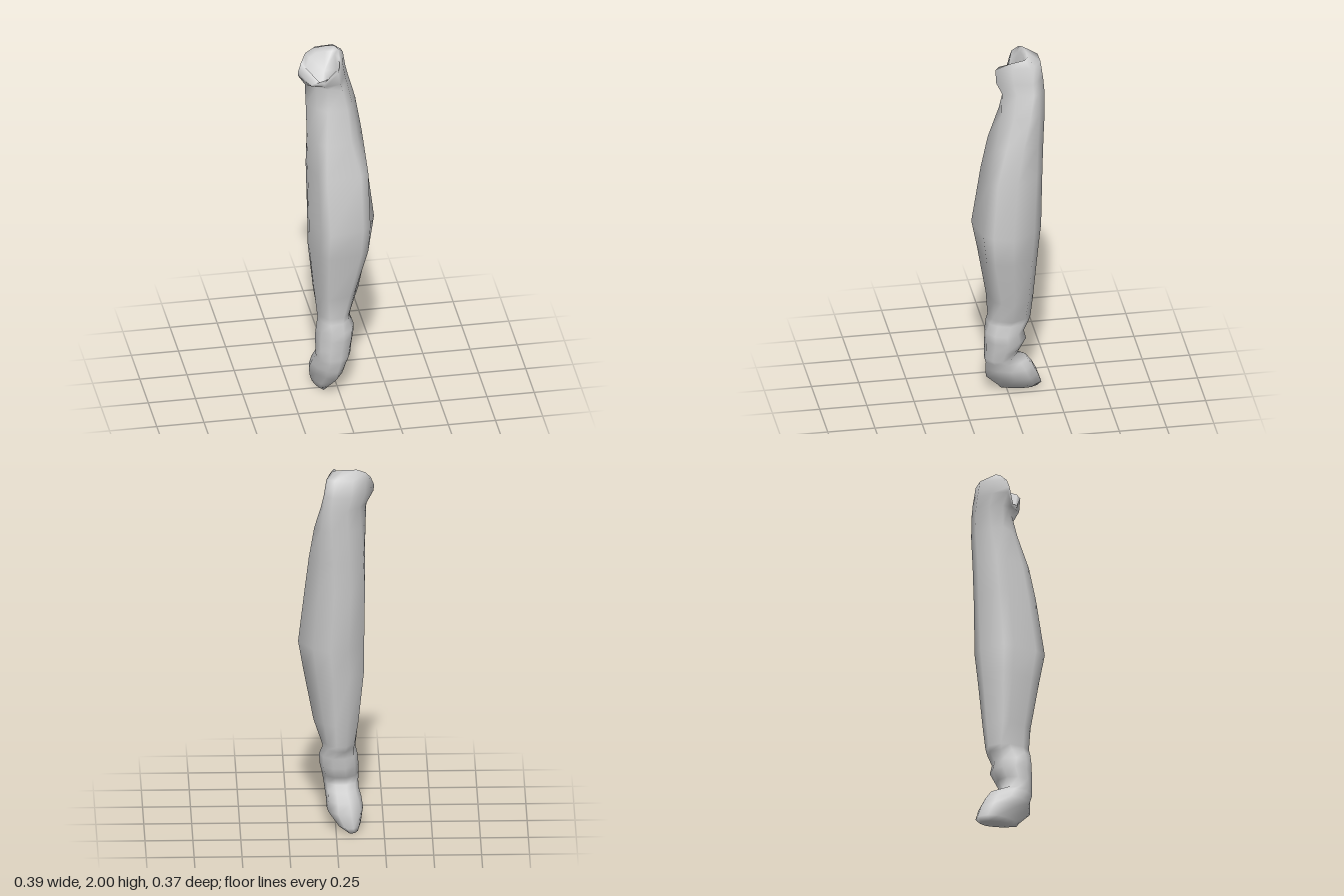
import * as THREE from 'three';

// Unit cross-sections [x, z], ten corners each, running from +x towards +z
const SHAFT = [[1, -.03], [.74, .5], [.48, .78], [-.5, 1], [-.74, .67], [-.97, -.05], [-.97, -.35], [-.48, -.95], [.05, -1], [.55, -.72]];
const BROAD = [[1, 0], [.94, .66], [.66, .9], [-.5, 1], [-.74, .67], [-.97, -.05], [-.98, -.38], [-.5, -.97], [.05, -1], [.58, -.72]];
const HEAD = [[1, -.5], [.85, .3], [.55, 1], [0, .7], [-.5, .4], [-1, .1], [-.65, -.5], [-.1, -1], [.65, -1], [.95, -.68]];
const FOOT = [[.95, -.05], [.66, .47], [.2, 1], [-.3, .75], [-.75, .35], [-1, -.1], [-.85, -.6], [-.35, -1], [.35, -1], [.88, -.62]];
const ROUND = SHAFT.map((_, i) => [Math.cos(i * Math.PI / 5), Math.sin(i * Math.PI / 5) / .951]);

// One level: height, x range, z range, and a blend between two sections
function ring(y, x0, x1, z0, z1, from, to = from, t = 0) {
  return from.map(([px, pz], i) => {
    const x = px + (to[i][0] - px) * t, z = pz + (to[i][1] - pz) * t;
    return [(x0 + x1) / 2 + x * (x1 - x0) / 2, y, (z0 + z1) / 2 + z * (z1 - z0) / 2];
  });
}

// Gives each corner of a level its own height
const slant = (points, heights) => points.map(([x, , z], i) => [x, heights[i], z]);

// Skin through rings from bottom to top, closed to a point at each end
function loft(rings, bottom, top) {
  const n = rings[0].length, pos = rings.flat(2), index = [];
  pos.push(...bottom, ...top);
  const low = rings.length * n, high = low + 1, last = low - n;
  for (let j = 0; j < n; j++) {
    const k = (j + 1) % n;
    for (let r = 0; r < rings.length - 1; r++) {
      const a = r * n + j, b = r * n + k;
      index.push(a, a + n, b, b, a + n, b + n);
    }
    index.push(low, j, k, last + j, high, last + k);
  }
  const g = new THREE.BufferGeometry();
  g.setAttribute('position', new THREE.Float32BufferAttribute(pos, 3));
  g.setIndex(index);
  g.computeVertexNormals();
  return g;
}

export function createModel() {
  const group = new THREE.Group();
  group.name = 'limb';
  // rim around the hollow, dipping at the front
  const rim = [
    [.02, 1.986, -.08], [.014, 1.97, -.015], [.003, 1.95, .053], [-.045, 1.875, .032], [-.085, 1.835, .01],
    [-.183, 1.94, -.048], [-.155, 1.978, -.08], [-.11, 1.998, -.092], [-.045, 2, -.1], [.003, 1.996, -.1],
  ];
  const rings = [
    // foot, with the toe towards the back
    ring(0, -.12, -.045, -.165, .03, FOOT),
    ring(.03, -.13, -.008, -.182, .05, FOOT),
    ring(.1, -.143, .052, -.158, .115, FOOT),
    ring(.15, -.135, .053, -.133, .12, FOOT, ROUND, .5),
    ring(.198, -.12, .058, -.1, .12, ROUND),
    // ankle
    ring(.22, -.12, .062, -.035, .12, ROUND),
    ring(.27, -.12, .07, -.06, .12, ROUND),
    ring(.33, -.12, .083, -.09, .12, ROUND),
    ring(.38, -.115, .085, -.078, .12, ROUND),
    ring(.43, -.105, .067, -.108, .112, ROUND, SHAFT, .4),
    // shaft
    ring(.46, -.108, .075, -.117, .103, ROUND, SHAFT, .6),
    ring(.58, -.122, .115, -.13, .11, SHAFT),
    ring(.85, -.15, .167, -.153, .155, SHAFT, BROAD, .7),
    ring(1.01, -.153, .195, -.167, .186, SHAFT, BROAD, .25),
    ring(1.32, -.155, .16, -.177, .135, BROAD),
    ring(1.5, -.156, .14, -.182, .105, SHAFT, HEAD, .15),
    ring(1.68, -.157, .113, -.187, .06, SHAFT, HEAD, .5),
    ring(1.8, -.16, .08, -.185, .042, SHAFT, HEAD, .85),
    // flared head and its slanted shoulder
    slant(ring(0, -.198, .065, -.18, .066, HEAD), [1.86, 1.86, 1.855, 1.825, 1.815, 1.865, 1.87, 1.87, 1.87, 1.87]),
    slant(ring(0, -.2, .05, -.168, .069, HEAD), [1.95, 1.945, 1.925, 1.85, 1.825, 1.895, 1.94, 1.96, 1.965, 1.955]),
    rim,
    // inside of the hollow
    rim.map(([x, y, z]) => [-.065 + (x + .065) * .78, y - .025, -.035 + (z + .035) * .78]),
  ];

  const mesh = new THREE.Mesh(
    loft(rings, [-.08, 0, -.07], [-.06, 1.885, -.04]),
    new THREE.MeshStandardMaterial({ color: 0xcccccc, side: THREE.DoubleSide }),
  );
  mesh.name = 'shaftWithFootAndHollowHead';
  group.add(mesh);
  return group;
}
